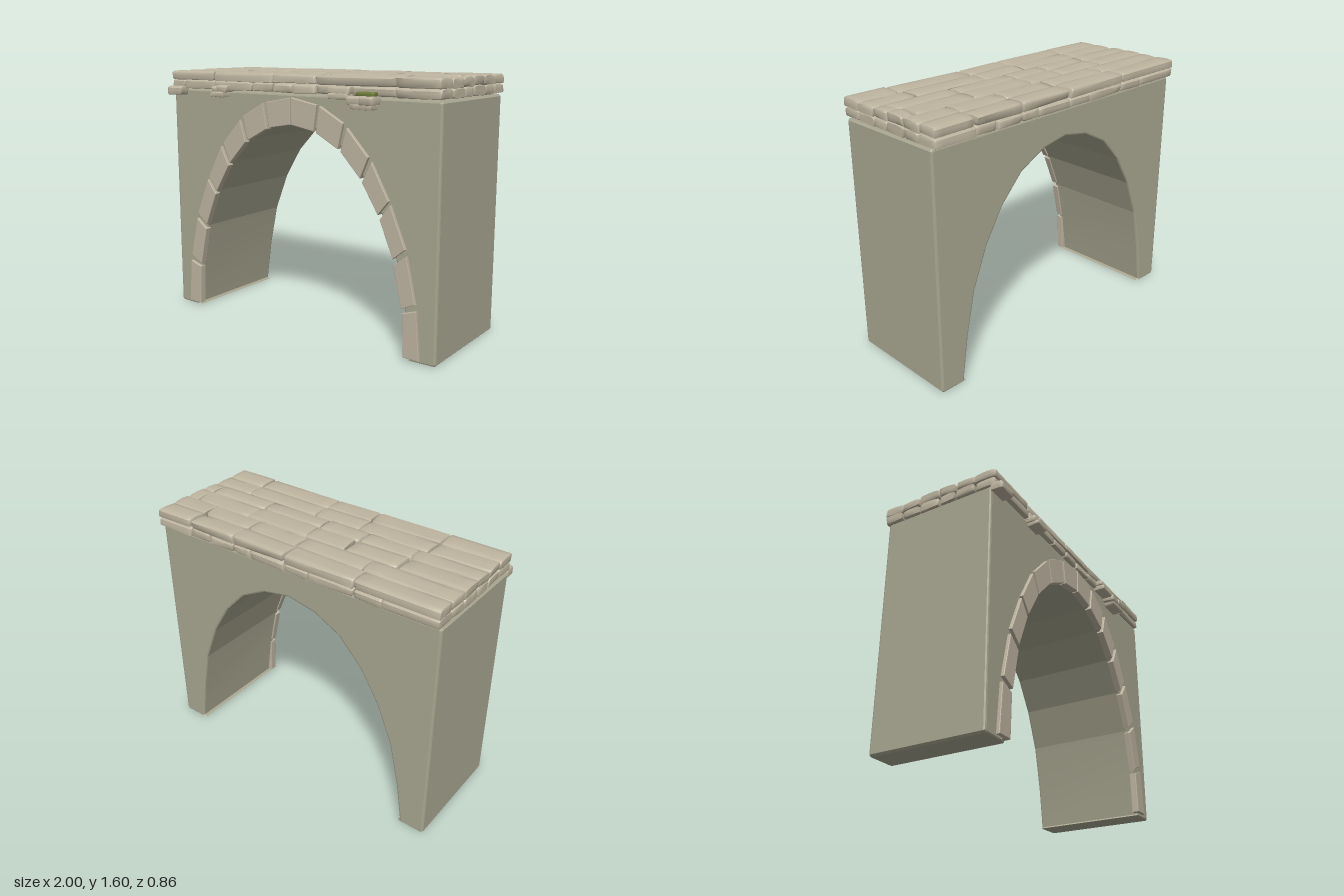
import * as THREE from 'three';
import { toCreasedNormals } from 'three/addons/utils/BufferGeometryUtils.js';

const wallMat = new THREE.MeshStandardMaterial({ color: 0xa8a690 });
const archMat = new THREE.MeshStandardMaterial({ color: 0xbdb3a0 });
const deckMat = new THREE.MeshStandardMaterial({ color: 0xbdb49f });
const mossMat = new THREE.MeshStandardMaterial({ color: 0x6f7d3c });

// Seeded random in -1..1
let seed = 7;
function rnd() {
  seed = (seed * 16807) % 2147483647;
  return (seed / 2147483647) * 2 - 1;
}

function addMesh(parent, name, geometry, material) {
  const mesh = new THREE.Mesh(geometry, material);
  mesh.name = name;
  parent.add(mesh);
  return mesh;
}

// Extrudes a closed outline between two depths, bevelled inside its outline
function prism(points, z0, z1, bevel) {
  const shape = new THREE.Shape(points.map(([x, y]) => new THREE.Vector2(x, y)));
  const geometry = new THREE.ExtrudeGeometry(shape, {
    depth: z1 - z0 - 2 * bevel, bevelEnabled: true, bevelThickness: bevel,
    bevelSize: bevel, bevelOffset: -bevel, bevelSegments: 2,
  });
  geometry.translate(0, 0, z0 + bevel);
  return toCreasedNormals(geometry, 0.15);
}

// Worn stone: a box with jittered corners, rounded rims and a crowned top
function stone(parent, name, [x0, x1], [y0, y1], [z0, z1], rough = 0.01, material = deckMat) {
  const geometry = new THREE.BoxGeometry(2, 2, 2, 8, 4, 6);
  const pos = geometry.attributes.position;
  const corners = Array.from({ length: 8 }, () => [rnd() * rough, rnd() * rough * 0.6, rnd() * rough]);
  const half = [(x1 - x0) / 2, (y1 - y0) / 2, (z1 - z0) / 2];
  const mid = [(x0 + x1) / 2, (y0 + y1) / 2, (z0 + z1) / 2];
  const round = 0.35 * Math.min(...half);
  for (let i = 0; i < pos.count; i++) {
    const u = [pos.getX(i), pos.getY(i), pos.getZ(i)];
    // rows next to the rim are pulled out to it, then pushed onto a rounded edge
    const p = u.map((c, k) => {
      const step = [0.75, 0.5, 2 / 3][k];
      const a = Math.abs(c);
      const inner = half[k] - round;
      return Math.sign(c) * (a > 0.99 ? half[k] : (a / step) * inner);
    });
    const core = p.map((c, k) => THREE.MathUtils.clamp(c, round - half[k], half[k] - round));
    const d = p.map((c, k) => c - core[k]);
    const len = Math.hypot(...d) || 1;
    const q = core.map((c, k) => c + (d[k] / len) * round * (len > 1e-6 ? 1 : 0));
    // crown
    if (u[1] > 0) q[1] -= 0.008 * u[2] * u[2] * u[1];
    // corner jitter, blended through the volume
    corners.forEach((jitter, c) => {
      const s = [c & 1, (c >> 1) & 1, c >> 2];
      const w = s.reduce((acc, on, k) => acc * (on ? 1 + u[k] : 1 - u[k]) / 2, 1);
      for (let k = 0; k < 3; k++) q[k] += jitter[k] * w;
    });
    const x = THREE.MathUtils.clamp(q[0] + mid[0], -1, 1);
    pos.setXYZ(i, x, Math.min(q[1] + mid[1], 1.596), q[2] + mid[2]);
  }
  return addMesh(parent, name, toCreasedNormals(geometry, 0.7), material);
}

export function createModel() {
  seed = 7;
  const model = new THREE.Group();

  // Wall block with the arched opening
  const side = [[0.82, 0], [0.835, 0.012], [0.795, 0.29], [0.735, 0.57], [0.635, 0.82],
    [0.512, 1.02], [0.36, 1.18], [0.183, 1.27]];
  const c = 0.012;
  const top = 1.475;
  addMesh(model, 'archedWall', prism([
    ...side.map(([x, y]) => [-x, y]), [0, 1.303], ...[...side].reverse(),
    [1 - c, 0], [1, c], [1, top - c], [1 - c, top],
    [c - 1, top], [-1, top - c], [-1, c], [c - 1, 0],
  ], -0.39, 0.345, 0.012), wallMat);

  // Arch stones: inner start, outer start, outer end, inner end; mirrored
  const arch = new THREE.Group();
  arch.name = 'archStones';
  model.add(arch);
  const wedges = [
    [[0.80, 0.02], [0.905, 0.02], [0.88, 0.31], [0.79, 0.28]],
    [[0.782, 0.305], [0.872, 0.345], [0.81, 0.615], [0.728, 0.55]],
    [[0.722, 0.585], [0.802, 0.65], [0.70, 0.89], [0.633, 0.80]],
    [[0.62, 0.825], [0.69, 0.91], [0.573, 1.12], [0.512, 1.00]],
    [[0.498, 1.02], [0.552, 1.145], [0.406, 1.30], [0.363, 1.162]],
    [[0.343, 1.175], [0.38, 1.325], [0.214, 1.415], [0.188, 1.257]],
    [[0.168, 1.265], [0.193, 1.42], [0.004, 1.455], [0.004, 1.293]],
  ];
  for (const sign of [-1, 1]) {
    for (const w of wedges) {
      addMesh(arch, 'archStone', prism(w.map(([x, y]) => [sign * x, y]), 0.32, 0.366, 0.004), archMat);
    }
  }

  // Paving: six rows, two courses deep; numbers are the joints along x
  const deck = new THREE.Group();
  deck.name = 'paving';
  model.add(deck);
  const rows = [
    [-0.425, -0.295, [-0.475, 0, 0.385, 0.725]],
    [-0.295, -0.165, [-0.44, 0.015, 0.375, 0.73]],
    [-0.165, -0.025, [-0.58, -0.225, 0.05, 0.49, 0.91]],
    [-0.025, 0.095, [-0.58, -0.235, 0.05, 0.485, 0.92]],
    [0.095, 0.228, [-0.62, -0.15, 0.18, 0.705]],
    [0.228, 0.365, [-0.62, -0.14, 0.18, 0.72]],
  ];
  for (const [z0, z1, joints] of rows) {
    const xs = [-1, ...joints, 1];
    for (let i = 0; i < xs.length - 1; i++) {
      const a = xs[i] + (i ? 0.005 : 0);
      const b = xs[i + 1] - (i < xs.length - 2 ? 0.005 : 0);
      stone(deck, 'pavingStone', [a, b], [1.537, 1.595], [z0 + 0.002, z1 - 0.002]);
      // lower course, split unevenly
      const m = a + (b - a) * (0.5 + rnd() * 0.2);
      const parts = b - a > 0.3 ? [[a, m - 0.003], [m + 0.003, b]] : [[a, b]];
      for (const span of parts) {
        stone(deck, 'underStone', span, [1.482, 1.54], [z0 + 0.004, z1 - 0.004], 0.008);
      }
    }
  }

  // Loose stones jutting from the front face
  const loose = new THREE.Group();
  loose.name = 'juttingStones';
  model.add(loose);
  const chunks = [
    [[-1, -0.875], [1.437, 1.497], [0.33, 0.418]],
    [[-0.61, -0.55], [1.465, 1.505], [0.33, 0.405]],
    [[-0.56, -0.48], [1.47, 1.512], [0.33, 0.41]],
    [[-0.60, -0.50], [1.438, 1.474], [0.33, 0.42]],
    [[0.30, 0.45], [1.495, 1.535], [0.33, 0.405]],
    [[0.31, 0.44], [1.462, 1.50], [0.33, 0.415]],
    [[0.435, 0.53], [1.44, 1.485], [0.33, 0.42]],
    [[0.52, 0.61], [1.44, 1.487], [0.33, 0.428]],
    [[0.46, 0.60], [1.414, 1.445], [0.33, 0.415]],
  ];
  for (const [x, y, z] of chunks) stone(loose, 'juttingStone', x, y, z, 0.006);
  stone(loose, 'mossPatch', [0.49, 0.61], [1.487, 1.51], [0.33, 0.405], 0.003, mossMat);

  return model;
}
